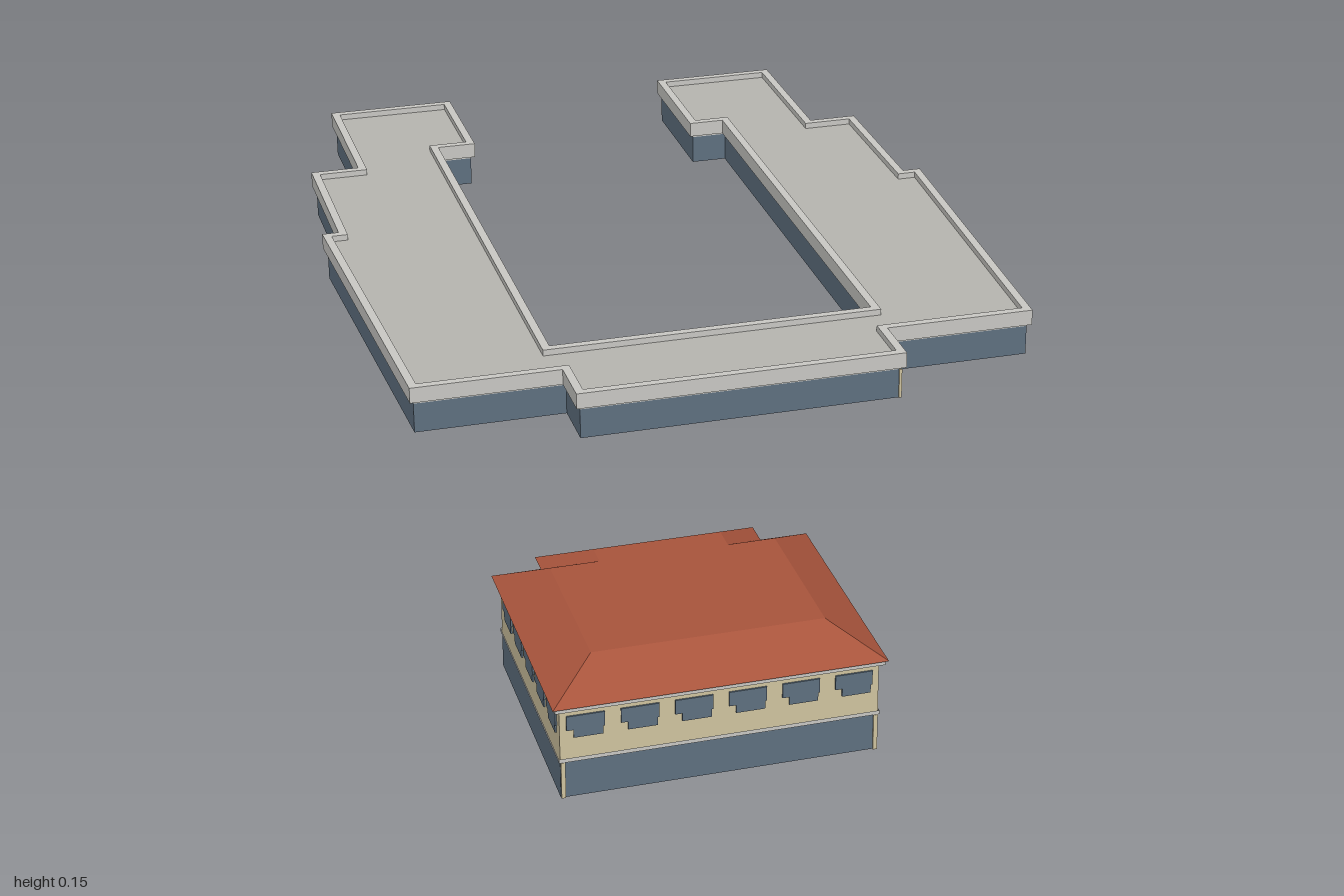
import * as THREE from 'three';

const mat = (name, color) => new THREE.MeshStandardMaterial({ name, color, side: THREE.DoubleSide });

// Offsets an outline (counter-clockwise from above, [x, z] points) outward by d
function offset(poly, d) {
  const n = poly.length;
  const normal = (a, b) => {
    const dx = b[0] - a[0], dz = b[1] - a[1], l = Math.hypot(dx, dz);
    return [-dz / l, dx / l];
  };
  return poly.map((p, i) => {
    const u = normal(poly[(i + n - 1) % n], p), v = normal(p, poly[(i + 1) % n]);
    const k = d / (1 + u[0] * v[0] + u[1] * v[1]);
    return [p[0] + (u[0] + v[0]) * k, p[1] + (u[1] + v[1]) * k];
  });
}

// Flat-shaded strip of faces between a lower and an upper outline
function band(lower, y0, upper, y1, keep = () => true) {
  const pos = [];
  lower.forEach((a, i) => {
    if (!keep(i)) return;
    const j = (i + 1) % lower.length, b = lower[j], c = upper[j], d = upper[i];
    const A = [a[0], y0, a[1]], B = [b[0], y0, b[1]], C = [c[0], y1, c[1]], D = [d[0], y1, d[1]];
    pos.push(...A, ...B, ...C, ...A, ...C, ...D);
  });
  const g = new THREE.BufferGeometry();
  g.setAttribute('position', new THREE.Float32BufferAttribute(pos, 3));
  g.computeVertexNormals();
  return g;
}

const toPoints = (poly) => poly.map(([x, z]) => new THREE.Vector2(x, -z));
const slab = (poly, y) =>
  new THREE.ShapeGeometry(new THREE.Shape(toPoints(poly))).rotateX(-Math.PI / 2).translate(0, y, 0);

function ring(outer, inner, y0, y1) {
  const shape = new THREE.Shape(toPoints(outer));
  shape.holes.push(new THREE.Path(toPoints(inner)));
  return new THREE.ExtrudeGeometry(shape, { depth: y1 - y0, bevelEnabled: false })
    .rotateX(-Math.PI / 2).translate(0, y0, 0);
}

export function createModel() {
  const slate = mat('slate blue wall', 0x5f7080);
  const cream = mat('cream wall', 0xd0c4a0);
  const pale = mat('pale trim', 0xc9c8c4);
  const flat = mat('grey flat roof', 0xb6b5b0);
  const tile = mat('red roof tile', 0xa8543c);

  const model = new THREE.Group();
  model.name = 'buildings';
  const add = (parent, name, geometry, material) => {
    const m = new THREE.Mesh(geometry, material);
    m.name = name;
    parent.add(m);
    return m;
  };

  // Low U-shaped building
  const hall = new THREE.Group();
  hall.name = 'courtyardBuilding';
  model.add(hall);
  const edge = [
    [-0.38, -1], [-0.38, -0.75], [-0.455, -0.75], [-0.455, -0.5], [-0.48, -0.5], [-0.455, 0.06],
    [-0.24, 0.06], [-0.24, 0.14], [0.235, 0.14], [0.235, 0.055], [0.455, 0.055], [0.478, -0.5],
    [0.45, -0.5], [0.45, -0.75], [0.375, -0.75], [0.375, -1], [0.18, -1], [0.18, -0.79],
    [0.235, -0.79], [0.235, -0.02], [-0.24, -0.02], [-0.24, -0.8], [-0.18, -0.8], [-0.18, -1],
  ];
  const wall = offset(edge, -0.006);
  const isStep = (i) => i === 3 || i === 11;
  add(hall, 'lowerWalls', band(wall, 0, wall, 0.044, (i) => !isStep(i)), slate);
  add(hall, 'stepWalls', band(wall, 0, wall, 0.044, isStep), cream);
  add(hall, 'wallTopStrip', band(wall, 0.044, wall, 0.062), pale);
  add(hall, 'parapet', ring(edge, offset(edge, -0.012), 0.048, 0.071), pale);
  add(hall, 'flatRoof', slab(offset(edge, -0.004), 0.062), flat);
  // Narrow corner strip on the front
  add(hall, 'cornerStrip', new THREE.BoxGeometry(0.004, 0.044, 0.004).translate(0.228, 0.022, 0.134), cream);

  // Two-storey house with a shallow rear bay
  const house = new THREE.Group();
  house.name = 'house';
  model.add(house);
  const eave = [
    [-0.475, 0.682], [-0.475, 0.997], [-0.085, 0.997], [-0.085, 0.685],
    [-0.143, 0.685], [-0.143, 0.652], [-0.415, 0.652], [-0.415, 0.682],
  ];
  const body = offset(eave, -0.009);
  const isBaySide = (i) => i === 4 || i === 6;
  add(house, 'groundFloorWalls', band(body, 0, body, 0.045, (i) => !isBaySide(i)), slate);
  add(house, 'baySideWalls', band(body, 0, body, 0.045, isBaySide), cream);
  add(house, 'upperWalls', band(body, 0.045, body, 0.113), cream);
  const sill = offset(body, 0.0015);
  add(house, 'sillBand', band(sill, 0.046, sill, 0.051), pale);
  add(house, 'soffit', slab(offset(eave, -0.003), 0.113), flat);
  const fascia = offset(eave, -0.003);
  add(house, 'fascia', band(fascia, 0.113, fascia, 0.119), pale);

  // Hipped roof with a flat top
  const crown = offset(eave, -0.058);
  add(house, 'roofSlopes', band(eave, 0.119, crown, 0.152), tile);
  add(house, 'roofTop', slab(crown, 0.152), tile);
  add(house, 'roofUnderside', slab(eave, 0.119), tile);

  // Cream corner strips on the front
  for (const x of [-0.463, -0.097])
    add(house, 'cornerStrip', new THREE.BoxGeometry(0.005, 0.046, 0.004).translate(x, 0.023, 0.988), cream);

  // Stepped windows, wide above and narrower below
  function windowRow(count, x, z, pitch, turn) {
    for (let i = 0; i < count; i++) {
      const w = new THREE.Group();
      w.name = 'window';
      const s = (i - (count - 1) / 2) * pitch;
      w.position.set(x + s * Math.cos(turn), 0, z - s * Math.sin(turn));
      w.rotation.y = turn;
      add(w, 'upperPane', new THREE.BoxGeometry(0.044, 0.018, 0.004).translate(0, 0.096, 0), slate);
      add(w, 'lowerPane', new THREE.BoxGeometry(0.034, 0.01, 0.004).translate(0.003, 0.082, 0), slate);
      house.add(w);
    }
  }
  windowRow(6, -0.28, 0.988, 0.0625, 0);
  windowRow(5, -0.094, 0.842, 0.056, Math.PI / 2);
  windowRow(5, -0.466, 0.842, 0.056, -Math.PI / 2);
  windowRow(4, -0.279, 0.661, 0.0625, Math.PI);

  return model;
}
